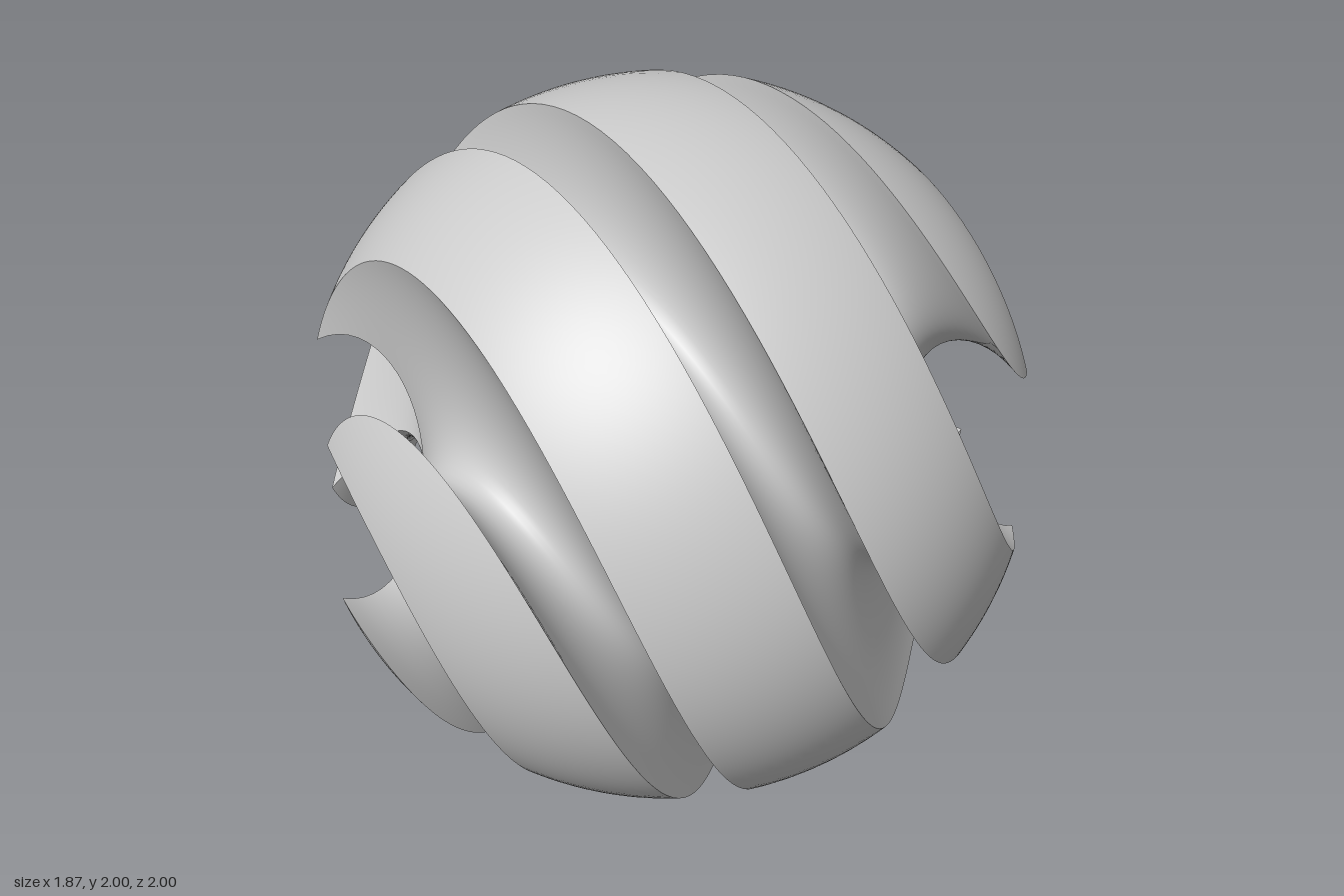
import * as THREE from 'three';

const TWIST = 2.5;    // radians of twist per unit along x
const TUBE = 0.255;   // radius of the round grooves
const RING = 0.935;   // distance of the groove centre line from the ball centre
const ARC = Math.acos((RING * RING + TUBE * TUBE - 1) / (2 * RING * TUBE)); // half angle of the groove section
const HALF = TUBE * Math.sin(ARC);          // groove half width on the ball
const TIP = Math.sqrt(1 - 2 * HALF * HALF); // x where a ridge ends in a point

// Bends a grid by rule(c, k) -> [x, radius, angle about x], with c, k in -1..1,
// then twists it about the x axis.
function twistedPatch(nx, ny, rule) {
  const geo = new THREE.PlaneGeometry(2, 2, nx, ny);
  const pos = geo.attributes.position;
  for (let i = 0; i < pos.count; i++) {
    const c = Math.sin(pos.getX(i) * Math.PI / 2); // denser towards the poles
    const [x, r, angle] = rule(c, pos.getY(i));
    const a = angle - TWIST * x;
    pos.setXYZ(i, x, r * Math.sin(a), r * Math.cos(a));
  }
  geo.computeVertexNormals();
  return geo;
}

// Ball surface between two neighbouring grooves
function ridgeRule(c, k) {
  const x = TIP * c;
  const r = Math.sqrt(1 - x * x);
  const spread = Math.max(0, Math.PI / 4 - Math.asin(Math.min(1, HALF / r)));
  return [x, r, k * spread];
}

// Half of a ring-shaped, slightly undercut channel from pole to pole,
// mitred where channels cross
function grooveRule(c, k) {
  const u = TUBE * Math.sin(k * ARC);
  const q = RING - TUBE * Math.cos(k * ARC);
  const x = Math.sqrt(q * q - u * u) * c;
  const v = Math.sqrt(Math.max(0, q * q - x * x));
  return [x, Math.hypot(u, v), Math.PI / 4 + Math.atan2(u, v)];
}

export function createModel() {
  const model = new THREE.Group();
  model.name = 'twistedGroovedBall';
  const material = new THREE.MeshStandardMaterial({ color: 0xcccccc });
  const ridge = twistedPatch(128, 24, ridgeRule);
  const groove = twistedPatch(128, 32, grooveRule);

  // Four ridges and four grooves around the x axis
  for (let i = 0; i < 4; i++) {
    for (const [name, geo] of [['ridge', ridge], ['groove', groove]]) {
      const mesh = new THREE.Mesh(geo, material);
      mesh.name = name + (i + 1);
      mesh.rotation.x = i * Math.PI / 2;
      mesh.position.y = 1;
      model.add(mesh);
    }
  }
  return model;
}
